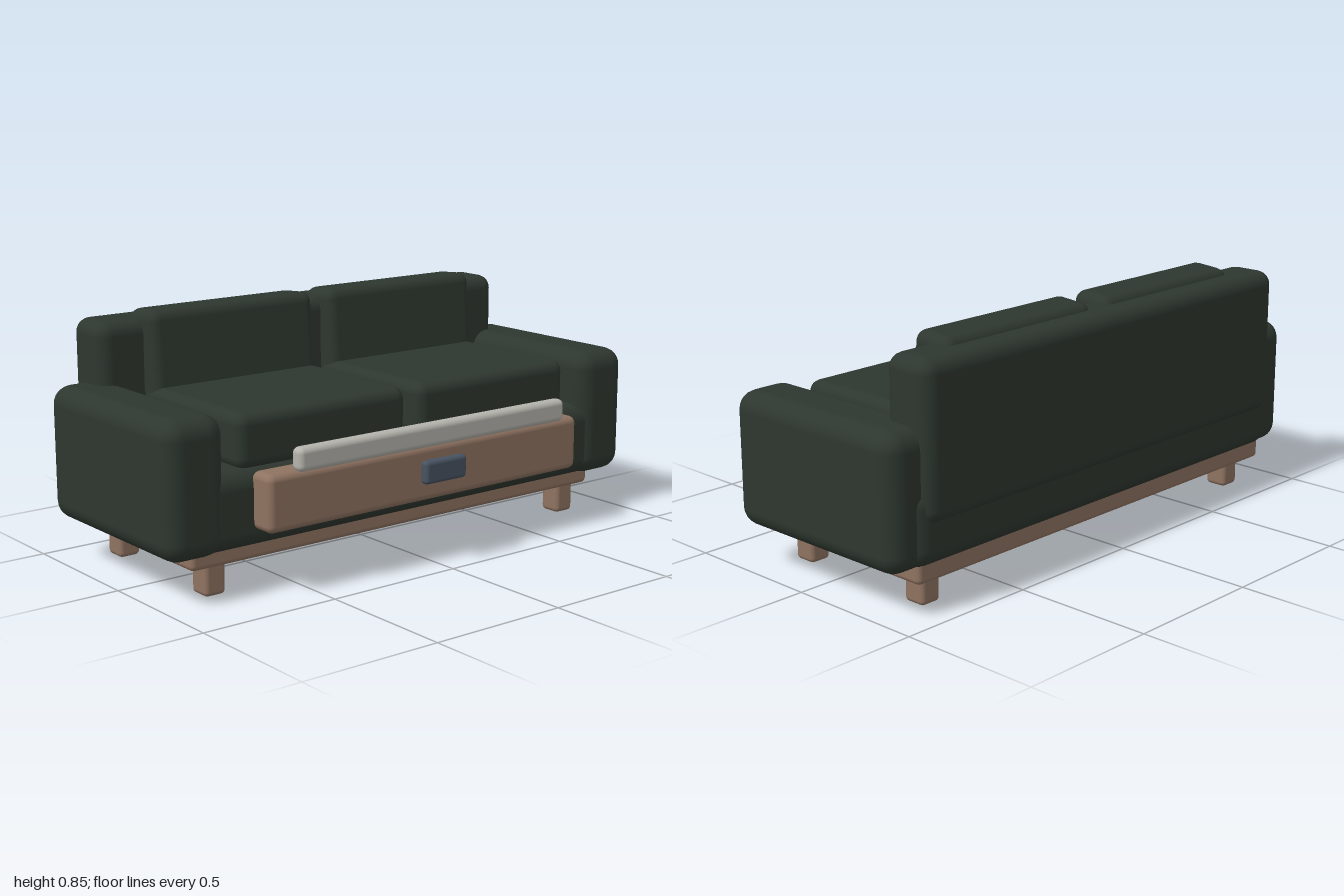
import * as THREE from 'three';
import { RoundedBoxGeometry } from 'three/addons/geometries/RoundedBoxGeometry.js';

function material(name, color) {
  const m = new THREE.MeshStandardMaterial({ color });
  m.name = name;
  return m;
}

export function createModel() {
  const model = new THREE.Group();
  model.name = 'sofa';
  const fabric = material('dark green fabric', 0x2e372f);
  const wood = material('warm wood', 0x8f7361);
  const pale = material('pale trim', 0xb4b3ac);
  const slate = material('slate handle', 0x475362);

  // Rounded block given by its extents on each axis
  function block(name, mat, [x0, x1], [y0, y1], [z0, z1], radius) {
    const geo = new RoundedBoxGeometry(x1 - x0, y1 - y0, z1 - z0, 3, radius);
    const mesh = new THREE.Mesh(geo, mat);
    mesh.name = name;
    mesh.position.set((x0 + x1) / 2, (y0 + y1) / 2, (z0 + z1) / 2);
    model.add(mesh);
    return mesh;
  }

  // Frame and upholstered body
  block('plinth', wood, [-0.88, 0.88], [0.1, 0.19], [-0.42, 0.255], 0.018);
  block('body', fabric, [-0.92, 0.92], [0.152, 0.42], [-0.447, 0.31], 0.065);
  block('backrest', fabric, [-0.88, 0.88], [0.295, 0.822], [-0.465, -0.275], 0.05);

  // Mirrored parts
  for (const [side, s] of [['left', 1], ['right', -1]]) {
    const span = (a, b) => (s > 0 ? [a, b] : [-b, -a]);
    block(side + 'Arm', fabric, span(0.775, 1), [0.15, 0.61], [-0.432, 0.32], 0.065);
    block(side + 'SeatCushion', fabric, span(0.025, 0.717), [0.405, 0.592], [-0.29, 0.287], 0.04);
    const back = block(side + 'BackCushion', fabric, span(0.032, 0.712), [0.53, 0.85], [-0.375, -0.215], 0.04);
    back.rotation.x = -0.08;
    block(side + 'FrontLeg', wood, span(0.74, 0.82), [0, 0.12], [0.157, 0.241], 0.016);
    block(side + 'BackLeg', wood, span(0.74, 0.82), [0, 0.12], [-0.371, -0.287], 0.016);
  }

  // Front drawer with its rail and handle
  block('drawerFront', wood, [-0.677, 0.677], [0.217, 0.41], [0.29, 0.396], 0.025);
  block('drawerRail', pale, [-0.58, 0.58], [0.411, 0.491], [0.377, 0.429], 0.02);
  block('drawerHandle', slate, [-0.09, 0.09], [0.296, 0.376], [0.429, 0.465], 0.014);

  return model;
}
